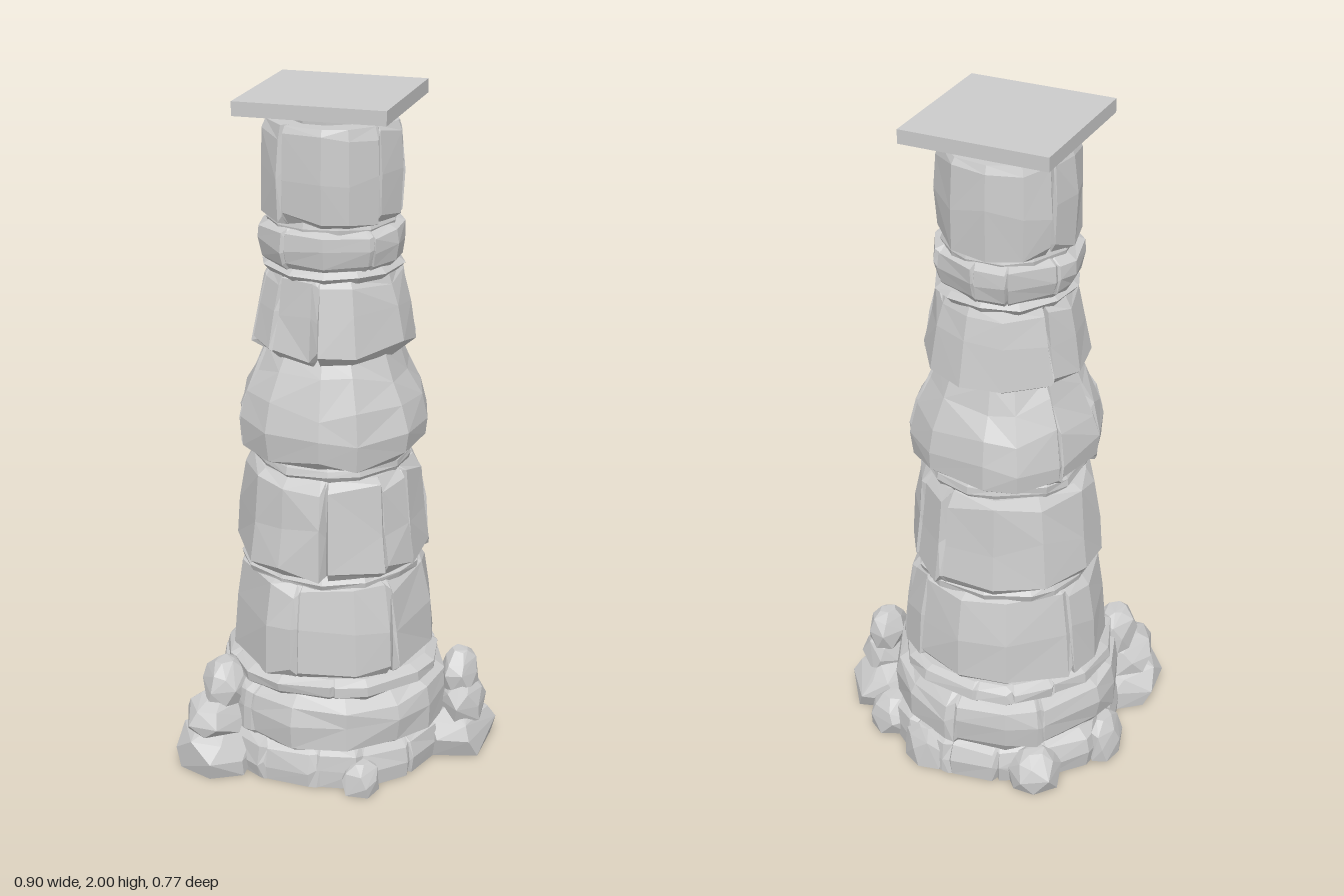
import * as THREE from 'three';
import { ConvexGeometry } from 'three/addons/geometries/ConvexGeometry.js';

const AXIS_X = -0.035, AXIS_Z = -0.025;

function seeded(seed) {
  let s = seed * 7919 + 17;
  return () => {
    s = (s * 16807) % 2147483647;
    return s / 2147483647;
  };
}

// Weathered stone drum: irregular rings of [height, radius], split by tapering V-shaped cracks.
function drumGeometry(rows, sides, seed, crackDepth) {
  const rnd = seeded(seed);
  for (let i = 0; i < 5; i++) rnd();
  const columns = [];
  const phase = rnd() * 6;
  for (let i = 0; i < sides; i++) {
    const a = phase + ((i + (rnd() - 0.5) * 0.45) / sides) * Math.PI * 2;
    const scale = 0.965 + rnd() * 0.055;
    if (crackDepth > 0 && rnd() < 0.5) {
      const w = 0.03 + rnd() * 0.05, up = rnd() < 0.6;
      columns.push({ a: a - w, scale, cut: 0 }, { a, scale, cut: crackDepth * (0.6 + rnd() * 0.6), up },
        { a: a + w * 0.4, scale: scale * 0.985, cut: 0 });
    } else columns.push({ a, scale, cut: 0 });
  }
  const y0 = rows[0][0], y1 = rows[rows.length - 1][0];
  const n = columns.length, pos = [], index = [];
  rows.forEach(([y, r], j) => {
    const inner = j > 0 && j < rows.length - 1;
    for (const c of columns) {
      const t = (y - y0) / (y1 - y0);
      const cut = c.cut * (c.up ? t : 1 - t);
      const rr = r * c.scale * (1 + (inner ? (rnd() - 0.5) * 0.035 : 0)) * (1 - cut);
      const yy = y + (inner ? (rnd() - 0.5) * 0.14 * (y1 - y0) : 0);
      pos.push(Math.cos(c.a) * rr, yy, -Math.sin(c.a) * rr);
    }
  });
  for (let j = 0; j < rows.length - 1; j++) {
    for (let i = 0; i < n; i++) {
      const a = j * n + i, b = j * n + (i + 1) % n;
      if (rnd() < 0.5) index.push(a, b, b + n, a, b + n, a + n);
      else index.push(a, b, a + n, b, b + n, a + n);
    }
  }
  // flat ends
  const low = pos.length / 3, high = low + 1, last = (rows.length - 1) * n;
  pos.push(0, y0, 0, 0, y1, 0);
  for (let i = 0; i < n; i++) {
    const k = (i + 1) % n;
    index.push(low, k, i, high, last + i, last + k);
  }
  const g = new THREE.BufferGeometry();
  g.setAttribute('position', new THREE.Float32BufferAttribute(pos, 3));
  g.setIndex(index);
  g.computeVertexNormals();
  return g;
}

// Angular boulder: hull of points scattered over a blocky ellipsoid, from y = low to y = high.
function rockGeometry([x, z], [rx, rz], low, high, seed) {
  const rnd = seeded(seed), pts = [];
  for (let i = 0; i < 5; i++) rnd();
  const levels = [[0, 0.92], [0.42, 1], [0.75, 0.8], [1, 0.4]];
  for (const [t, k] of levels) {
    const start = rnd() * 2;
    for (let i = 0; i < 6; i++) {
      const a = start + (i + rnd() * 0.5) / 6 * Math.PI * 2;
      const q = k * (0.88 + rnd() * 0.16);
      const y = low + (high - low) * (t === 0 ? 0 : Math.min(1, t + (rnd() - 0.5) * 0.14));
      pts.push(new THREE.Vector3(x + Math.cos(a) * rx * q, y, z + Math.sin(a) * rz * q));
    }
  }
  return new ConvexGeometry(pts);
}

export function createModel() {
  const model = new THREE.Group();
  model.name = 'ruinedColumn';
  const stone = new THREE.MeshStandardMaterial({ color: 0xcccccc, flatShading: true });
  const column = new THREE.Group();
  column.name = 'column';
  column.position.set(AXIS_X, 0, AXIS_Z);
  const rubble = new THREE.Group();
  rubble.name = 'rubble';
  model.add(column, rubble);

  const add = (parent, name, geometry) => {
    const mesh = new THREE.Mesh(geometry, stone);
    mesh.name = name;
    parent.add(mesh);
    return mesh;
  };

  // name, [height, radius] rings, sides, crack depth
  const drums = [
    ['foot', [[0, 0.355], [0.05, 0.36], [0.1, 0.35], [0.125, 0.32]], 15, 0.06],
    ['baseRing', [[0.105, 0.32], [0.13, 0.348], [0.2, 0.352], [0.25, 0.342], [0.28, 0.3]], 14, 0.05],
    ['baseLip', [[0.265, 0.3], [0.285, 0.323], [0.315, 0.322], [0.33, 0.295]], 15, 0.03],
    ['lowerDrum', [[0.32, 0.285], [0.34, 0.31], [0.47, 0.302], [0.59, 0.278], [0.615, 0.25]], 12, 0.07],
    ['lowerJoint', [[0.605, 0.262], [0.625, 0.268], [0.645, 0.25]], 14, 0],
    ['middleDrum', [[0.635, 0.262], [0.655, 0.284], [0.78, 0.271], [0.91, 0.257], [0.935, 0.23]], 12, 0.13],
    ['middleJoint', [[0.925, 0.225], [0.945, 0.235], [0.965, 0.232], [0.985, 0.22]], 13, 0],
    ['bulgingDrum', [[0.968, 0.235], [0.99, 0.272], [1.06, 0.28], [1.14, 0.262], [1.22, 0.222], [1.285, 0.195]], 12, 0.14],
    ['upperDrum', [[1.265, 0.195], [1.3, 0.239], [1.4, 0.218], [1.49, 0.2], [1.51, 0.185]], 11, 0.16],
    ['upperJoint', [[1.5, 0.185], [1.52, 0.202], [1.535, 0.185]], 12, 0],
    ['ring', [[1.525, 0.18], [1.545, 0.2], [1.59, 0.211], [1.63, 0.208], [1.645, 0.18]], 11, 0.06],
    ['ringJoint', [[1.63, 0.18], [1.65, 0.185], [1.675, 0.175]], 12, 0],
    ['topDrum', [[1.655, 0.175], [1.675, 0.2], [1.79, 0.204], [1.91, 0.197], [1.93, 0.187]], 12, 0.15],
    ['neck', [[1.92, 0.135], [1.945, 0.135], [1.965, 0.13]], 10, 0],
  ];
  drums.forEach(([name, rows, sides, crack], i) => add(column, name, drumGeometry(rows, sides, i + 3, crack)));

  // square top slab
  add(column, 'topSlab', new THREE.BoxGeometry(0.43, 0.04, 0.44)).position.y = 1.98;

  // name, centre [x, z], half size [x, z], bottom, top
  const rocks = [
    ['rightBoulder', [0.34, -0.08], [0.12, 0.16], 0, 0.14],
    ['rightStone', [0.36, -0.07], [0.075, 0.1], 0.1, 0.22],
    ['rightPeak', [0.35, -0.08], [0.06, 0.075], 0.19, 0.31],
    ['frontBoulder', [-0.32, 0.25], [0.135, 0.14], 0, 0.135],
    ['frontStone', [-0.325, 0.24], [0.1, 0.12], 0.12, 0.22],
    ['frontPeak', [-0.3, 0.21], [0.075, 0.09], 0.2, 0.325],
    ['frontChip', [0.14, 0.28], [0.06, 0.075], 0, 0.09],
    ['backBoulder', [-0.25, -0.29], [0.085, 0.085], 0, 0.12],
    ['leftStone', [-0.38, -0.07], [0.055, 0.085], 0, 0.13],
    ['backChip', [0.08, -0.34], [0.085, 0.05], 0, 0.13],
    ['rightBackChip', [0.25, -0.24], [0.08, 0.07], 0, 0.12],
  ];
  rocks.forEach(([name, at, size, low, high], i) => add(rubble, name, rockGeometry(at, size, low, high, i + 31)));

  return model;
}
